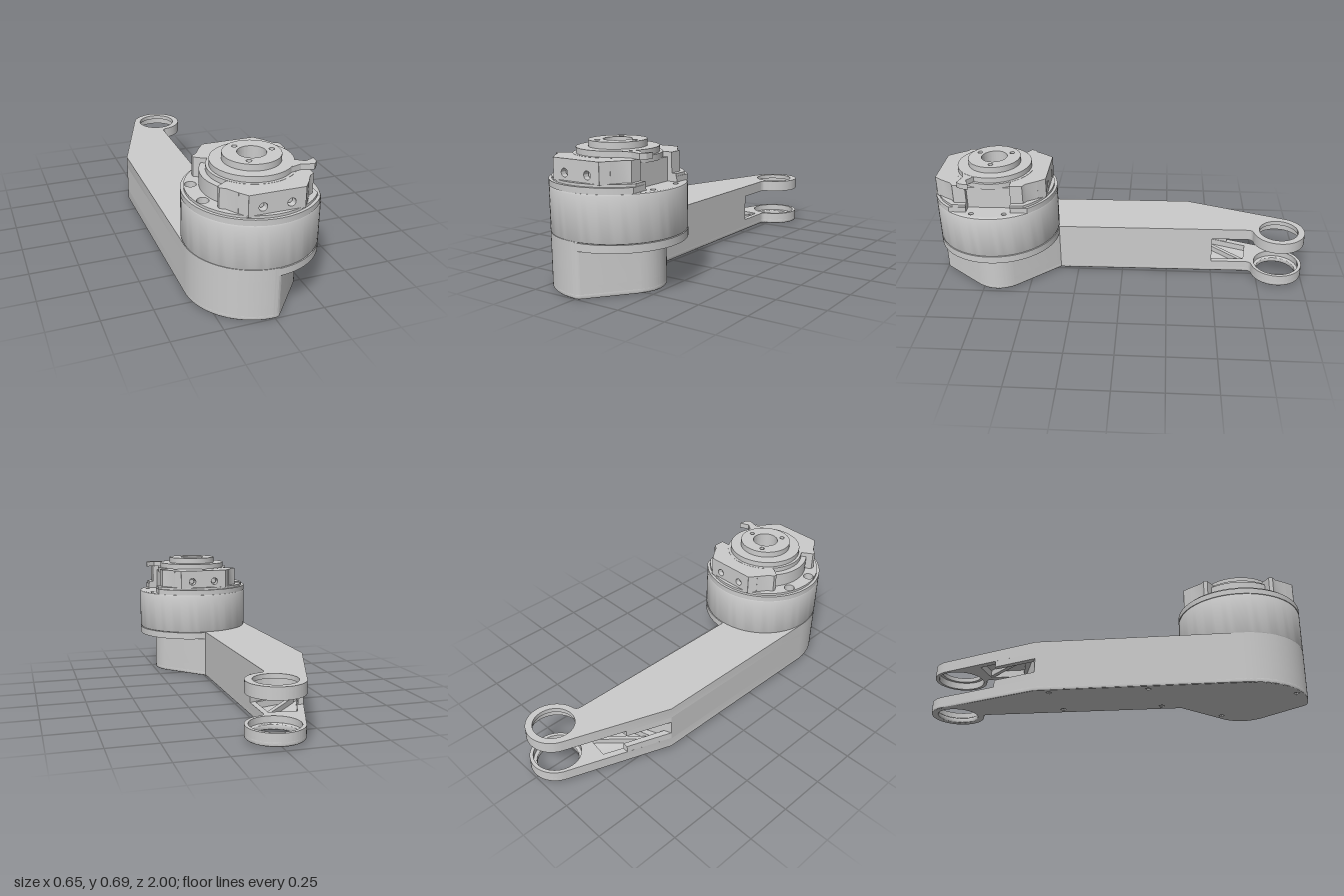
import * as THREE from 'three';
import { toCreasedNormals } from 'three/addons/utils/BufferGeometryUtils.js';

const material = new THREE.MeshStandardMaterial({ color: 0xcccccc });
const PI = Math.PI;

function add(parent, name, geometry) {
  const mesh = new THREE.Mesh(toCreasedNormals(geometry, 0.5), material);
  mesh.name = name;
  parent.add(mesh);
  return mesh;
}

// Extrudes a plan drawn in (x, z) between two heights.
function slab(parent, name, shape, y0, y1, bevel = 0) {
  const geometry = new THREE.ExtrudeGeometry(shape, {
    depth: y1 - y0 - 2 * bevel, curveSegments: 40, bevelEnabled: bevel > 0,
    bevelSize: bevel, bevelThickness: bevel, bevelOffset: -bevel, bevelSegments: 3,
  });
  geometry.rotateX(PI / 2).translate(0, y1 - bevel, 0);
  return add(parent, name, geometry);
}

const polygon = (points) => new THREE.Shape(points.map(([x, z]) => new THREE.Vector2(x, z)));
const disc = (r, x = 0, z = 0) => new THREE.Shape().absarc(x, z, r, 0, 2 * PI, false);
function drill(shape, r, centres) {
  for (const [x, z] of centres) shape.holes.push(new THREE.Path().absarc(x, z, r, 0, 2 * PI, true));
  return shape;
}

// Plan of the lower housing and arm; the end is either the ring or a list of points.
function armPlan(end) {
  const s = new THREE.Shape();
  s.moveTo(0, 0.35);
  s.lineTo(0.2, 0.575);
  s.quadraticCurveTo(0.27, 0.675, 0.2, 0.775);
  s.lineTo(0.03, 0.985);
  s.quadraticCurveTo(0.018, 1, 0, 1);
  s.absarc(0, 0.675, 0.325, PI / 2, PI, false);
  s.lineTo(-0.325, -0.37);
  if (end) {
    for (const [x, z] of end) s.lineTo(x, z);
  } else {
    s.absarc(0, -0.86, 0.14, PI + 0.347, 2 * PI + 1.36, false);
    s.quadraticCurveTo(0, -0.72, 0, -0.69);
  }
  return s;
}

// Disc with a chord cut on the right and an optional notch in the chord.
function cutDisc(r, chord, notch) {
  const a = Math.acos(chord / r);
  const s = new THREE.Shape();
  s.absarc(0, 0, r, a, 2 * PI - a, false);
  if (notch) {
    s.lineTo(chord, -0.115);
    s.lineTo(notch, -0.115);
    s.lineTo(notch, 0.115);
    s.lineTo(chord, 0.115);
  }
  return s;
}

function buildArm(root) {
  const arm = new THREE.Group();
  arm.name = 'arm';
  root.add(arm);
  const ring = [[0, -0.86]];

  // Outer covers
  const base = drill(armPlan(), 0.105, ring);
  drill(base, 0.012, [[0.14, 0.56], [0.13, 0.82], [-0.04, 0.25], [-0.04, -0.27],
    [-0.28, 0.2], [-0.28, -0.3], [-0.15, 0.93]]);
  slab(arm, 'bottomCover', base, 0.01, 0.04, 0.008);
  slab(arm, 'topCover', drill(armPlan(), 0.105, ring), 0.255, 0.278);

  // Fork plates: open pocket and stepped bearing seat
  for (const [name, y0, y1] of [['lowerFork', 0.02, 0.073], ['upperFork', 0.218, 0.265]]) {
    const plan = drill(armPlan(), 0.122, ring);
    plan.holes.push(new THREE.Path(
      [[-0.27, -0.43], [-0.17, -0.7], [-0.03, -0.68], [-0.03, -0.5]].map((p) => new THREE.Vector2(...p))));
    slab(arm, name, plan, y0, y1);
    slab(arm, name + 'Rib', polygon([[-0.25, -0.45], [-0.23, -0.44], [-0.03, -0.66], [-0.04, -0.68]]),
      y0 + 0.005, y1 - 0.005);
  }

  // Solid core, with stepped side walls at the slot
  slab(arm, 'core', armPlan([[0, -0.5]]), 0.07, 0.22);
  const lip = [[-0.325, -0.37], [-0.242, -0.6], [-0.212, -0.6], [-0.285, -0.387]];
  slab(arm, 'lowerLip', polygon(lip), 0.07, 0.11);
  slab(arm, 'upperLip', polygon(lip), 0.185, 0.22);
}

function buildMotor(root) {
  const motor = new THREE.Group();
  motor.name = 'motor';
  motor.position.set(0, 0.006, 0.675);
  root.add(motor);

  // Mounting flange with screw holes on the overhanging side
  const flangeHoles = [-60, -30, 0, 30, 60].map((d) => [0.285 * Math.cos(d * PI / 180), 0.285 * Math.sin(d * PI / 180)]);
  slab(motor, 'mountingFlange', drill(disc(0.325), 0.018, flangeHoles), 0.23, 0.268);

  // Drum housing with rounded rims
  const profile = [[0, 0.266], [0.315, 0.268], [0.322, 0.271], [0.325, 0.278], [0.325, 0.485],
    [0.322, 0.492], [0.315, 0.495], [0.3, 0.495], [0.3, 0.483], [0, 0.483]];
  add(motor, 'housing', new THREE.LatheGeometry(profile.map((p) => new THREE.Vector2(...p)), 80));
  slab(motor, 'housingCap', drill(disc(0.301), 0.013, [[0.268, 0.085], [0.268, -0.085]]), 0.48, 0.495);

  // Stepped top plates
  const leftHoles = [[-0.265, 0.085], [-0.265, -0.085]];
  slab(motor, 'topPlate', drill(cutDisc(0.325, 0.253, 0.2), 0.028, leftHoles), 0.493, 0.522);
  slab(motor, 'upperPlate', drill(cutDisc(0.31, 0.25, 0.2), 0.028, leftHoles), 0.522, 0.535);

  // Central drum, collar and hub
  const centre = [[0, 0]];
  slab(motor, 'innerDrum', drill(cutDisc(0.24, 0.2), 0.068, centre), 0.53, 0.61);
  slab(motor, 'collarBase', drill(disc(0.21), 0.068, centre), 0.605, 0.635);
  slab(motor, 'collar', drill(disc(0.195), 0.068, centre), 0.633, 0.663);
  const hubHoles = [0, 1, 2].map((i) => [0.1 * Math.cos(i * 2 * PI / 3), 0.1 * Math.sin(i * 2 * PI / 3)]);
  slab(motor, 'hub', drill(drill(disc(0.138), 0.068, centre), 0.013, hubHoles), 0.662, 0.695);
  slab(motor, 'collarTab', polygon([[0.14, 0.1], [0.18, 0.075], [0.22, 0.105], [0.27, 0.085],
    [0.265, 0.125], [0.245, 0.148], [0.185, 0.13], [0.13, 0.145]]), 0.634, 0.662);

  // Clamp blocks front and back, each with two recessed screws
  for (const [name, side] of [['frontClamp', 1], ['backClamp', -1]]) {
    const clamp = new THREE.Group();
    clamp.name = name;
    motor.add(clamp);
    const outline = [[-0.18, 0.13], [-0.225, 0.16], [-0.225, 0.18], [-0.2, 0.195], [-0.165, 0.25],
      [0.165, 0.25], [0.2, 0.195], [0.225, 0.18], [0.225, 0.115], [0.17, 0.115], [0.1, 0.1], [-0.1, 0.1]];
    slab(clamp, 'clampBlock', polygon(outline.map(([x, z]) => [x, z * side])), 0.53, 0.634);

    const panel = drill(polygon([[-0.135, 0.53], [0.135, 0.53], [0.135, 0.634], [-0.135, 0.634]]),
      0.02, [[-0.067, 0.57], [0.067, 0.57]]);
    const panelGeometry = new THREE.ExtrudeGeometry(panel, { depth: 0.042, bevelEnabled: false, curveSegments: 24 });
    const front = new THREE.Group();
    front.name = 'screwPanel';
    front.rotation.y = side > 0 ? 0 : PI;
    clamp.add(front);
    add(front, 'panel', panelGeometry.translate(0, 0, 0.248));
    for (const end of [-1, 1]) {
      // Chamfered ends and screw seats
      slab(front, 'panelCorner', polygon([[end * 0.134, 0.249], [end * 0.165, 0.249], [end * 0.134, 0.29]]), 0.53, 0.634);
      const seat = new THREE.RingGeometry(0.02, 0.032, 32).translate(end * 0.067, 0.57, 0.291);
      add(front, 'screwSeat', seat);
      const screw = new THREE.CylinderGeometry(0.013, 0.013, 0.02, 24).rotateX(PI / 2);
      add(front, 'screw', screw.translate(end * 0.067, 0.57, 0.258));
    }
  }
}

export function createModel() {
  const root = new THREE.Group();
  root.name = 'motorArm';
  buildArm(root);
  buildMotor(root);
  // The whole assembly leans slightly, rising toward the fork
  root.rotation.x = 0.0088;
  const model = new THREE.Group();
  model.name = 'model';
  model.add(root);
  return model;
}
